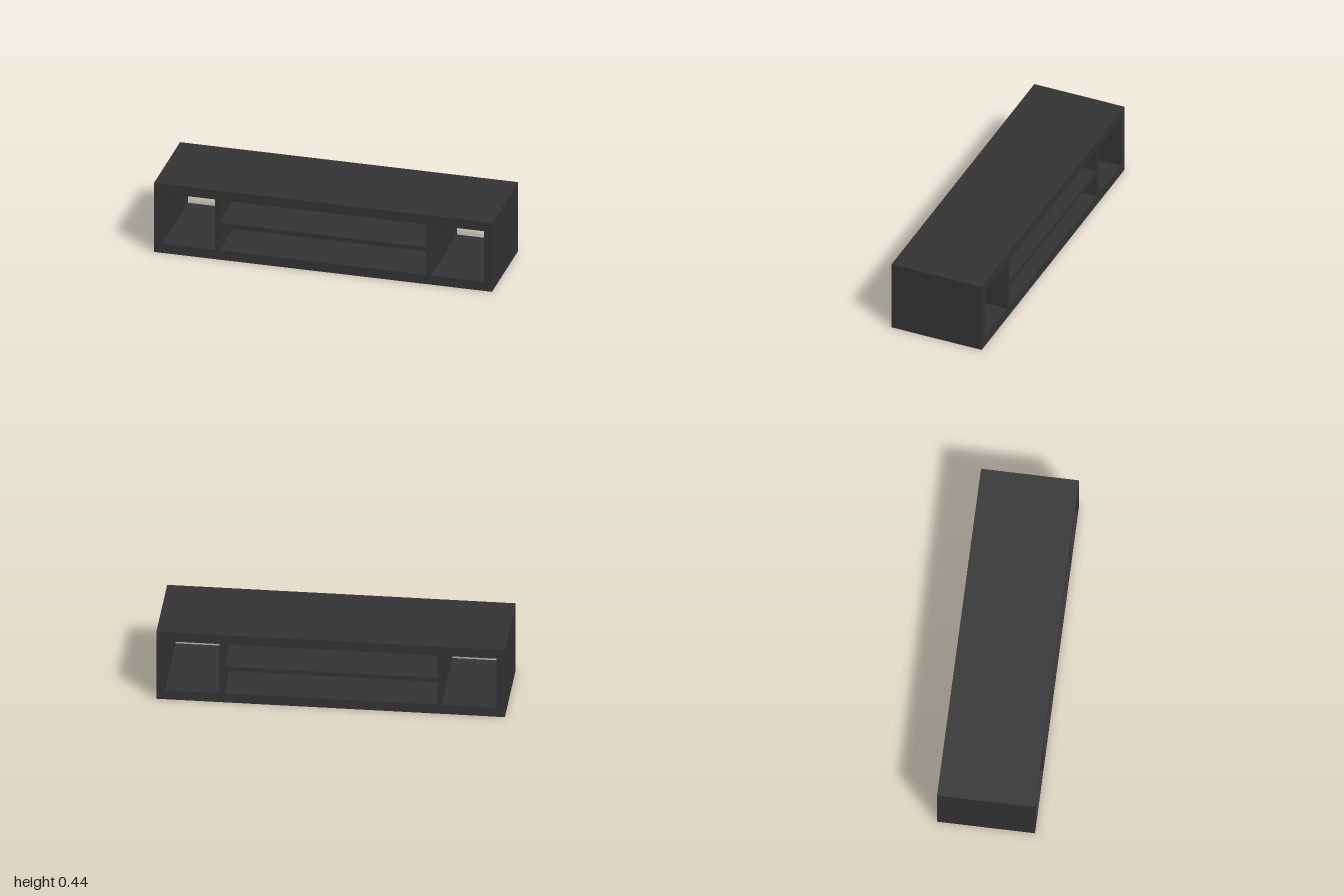
import * as THREE from 'three';

const W = 2, H = 0.435, D = 0.563;      // overall size
const SIDE = 0.048, SLAB = 0.058;       // side wall and top/bottom thickness
const BOARD = 0.027;                    // divider and shelf thickness
const DIVIDER_X = 0.624;                // divider centre

export function createModel() {
  const group = new THREE.Group();
  group.name = 'mediaConsole';
  const charcoal = new THREE.MeshStandardMaterial({ color: 0x333333 });
  charcoal.name = 'charcoal';

  const add = (name, geometry, x, y, z) => {
    const mesh = new THREE.Mesh(geometry, charcoal);
    mesh.name = name;
    mesh.position.set(x, y, z);
    group.add(mesh);
  };
  const rect = (path, x0, y0, x1, y1) =>
    path.moveTo(x0, y0).lineTo(x1, y0).lineTo(x1, y1).lineTo(x0, y1).closePath();

  // Outer frame: one open tube, front to back
  const outline = rect(new THREE.Shape(), -W / 2, 0, W / 2, H);
  outline.holes.push(rect(new THREE.Path(), -W / 2 + SIDE, SLAB, W / 2 - SIDE, H - SLAB));
  add('outerFrame', new THREE.ExtrudeGeometry(outline, { depth: D, bevelEnabled: false }), 0, 0, -D / 2);

  // Upright dividers
  const innerH = H - 2 * SLAB;
  for (const [name, s] of [['leftDivider', 1], ['rightDivider', -1]]) {
    add(name, new THREE.BoxGeometry(BOARD, innerH, D), s * DIVIDER_X, H / 2, 0);
  }

  // Middle shelf between the dividers
  add('middleShelf', new THREE.BoxGeometry(2 * DIVIDER_X - BOARD, BOARD, D), 0, 0.219, 0);

  return group;
}
